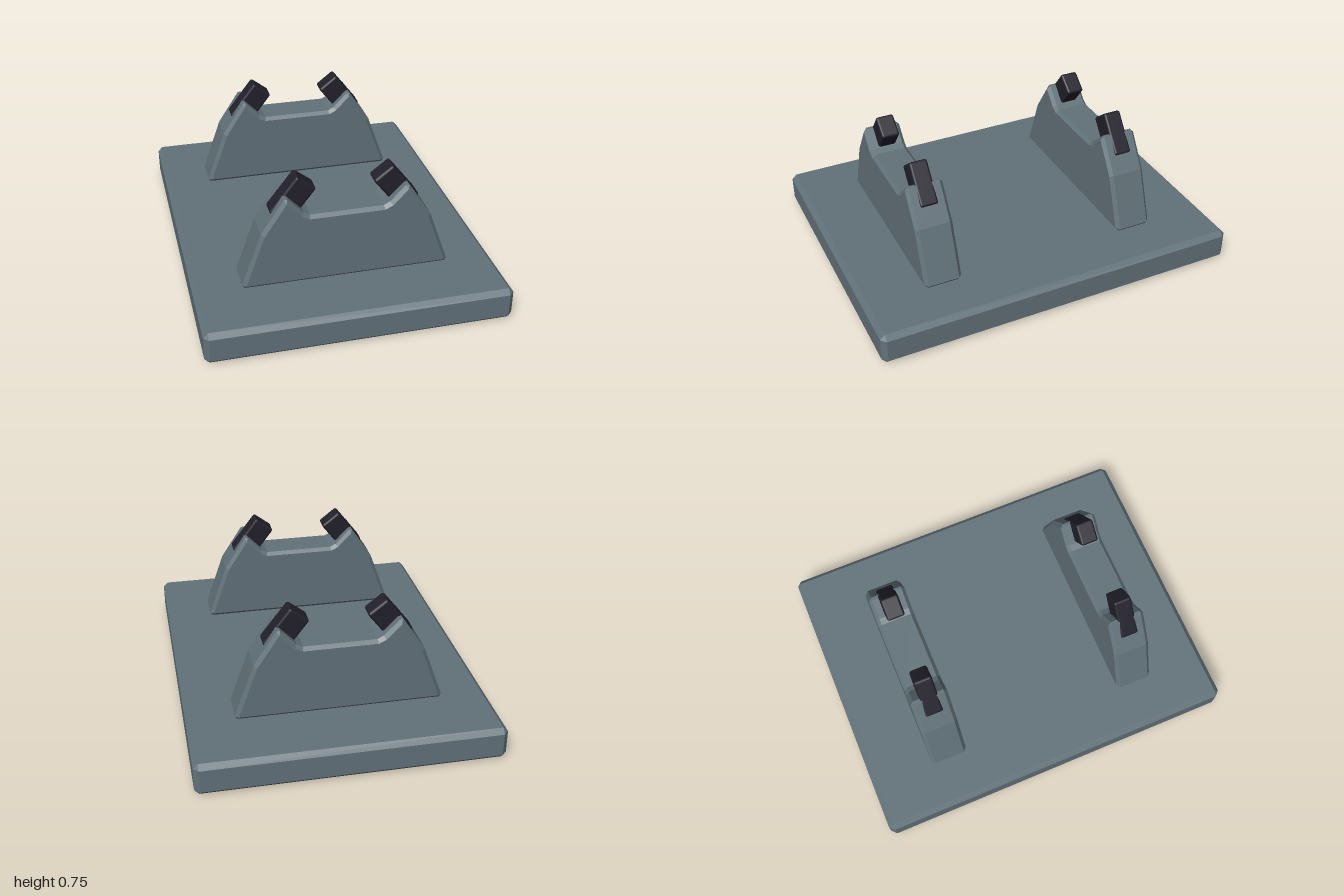
import * as THREE from 'three';
import { ConvexGeometry } from 'three/addons/geometries/ConvexGeometry.js';
import { RoundedBoxGeometry } from 'three/addons/geometries/RoundedBoxGeometry.js';

const slate = new THREE.MeshStandardMaterial({ color: 0x62727a });
slate.name = 'slate grey';
const rubber = new THREE.MeshStandardMaterial({ color: 0x22202b });
rubber.name = 'black rubber';

const BASE_TOP = 0.177;

// Box with every edge and corner chamfered by c
function chamferedBox(w, h, d, c) {
  const x = w / 2, y = h / 2, z = d / 2, points = [];
  for (const sx of [-1, 1]) for (const sy of [-1, 1]) for (const sz of [-1, 1]) {
    for (const [a, b, e] of [[0, c, c], [c, 0, c], [c, c, 0]]) {
      points.push(new THREE.Vector3(sx * (x - a), sy * (y - b), sz * (z - e)));
    }
  }
  return new ConvexGeometry(points);
}

// Notched cradle plate with chamfered edges, centred on z
function cradleGeometry() {
  const half = [
    [0.53, BASE_TOP], [0.543, 0.193], [0.44, 0.48], [0.32, 0.662],
    [0.303, 0.662], [0.222, 0.578], [0.19, 0.562],
  ];
  const mirrored = half.map(([x, y]) => [-x, y]).reverse();
  const shape = new THREE.Shape([...half, ...mirrored].map(([x, y]) => new THREE.Vector2(x, y)));
  const depth = 0.204, bevel = 0.018;
  const geometry = new THREE.ExtrudeGeometry(shape, {
    depth: depth - 2 * bevel, bevelEnabled: true, bevelSegments: 1,
    bevelSize: bevel, bevelThickness: bevel, bevelOffset: -bevel,
  });
  return geometry.translate(0, 0, bevel - depth / 2);
}

export function createModel() {
  const model = new THREE.Group();
  model.name = 'cradleStand';

  // Base slab
  const base = new THREE.Mesh(chamferedBox(1.58, BASE_TOP, 2, 0.026), slate);
  base.name = 'base';
  base.position.y = BASE_TOP / 2;
  model.add(base);

  // Two cradles, each with a pair of tilted rubber pads
  const plate = cradleGeometry();
  const padShape = new RoundedBoxGeometry(0.125, 0.235, 0.098, 2, 0.013);
  for (const [name, z] of [['frontCradle', 0.571], ['backCradle', -0.553]]) {
    const cradle = new THREE.Group();
    cradle.name = name;
    cradle.position.z = z;

    const support = new THREE.Mesh(plate, slate);
    support.name = 'support';
    cradle.add(support);

    for (const side of [-1, 1]) {
      const pad = new THREE.Mesh(padShape, rubber);
      pad.name = side > 0 ? 'leftPad' : 'rightPad';
      pad.position.set(side * 0.268, 0.628, 0);
      pad.rotation.z = side * 0.66;
      cradle.add(pad);
    }
    model.add(cradle);
  }
  return model;
}
